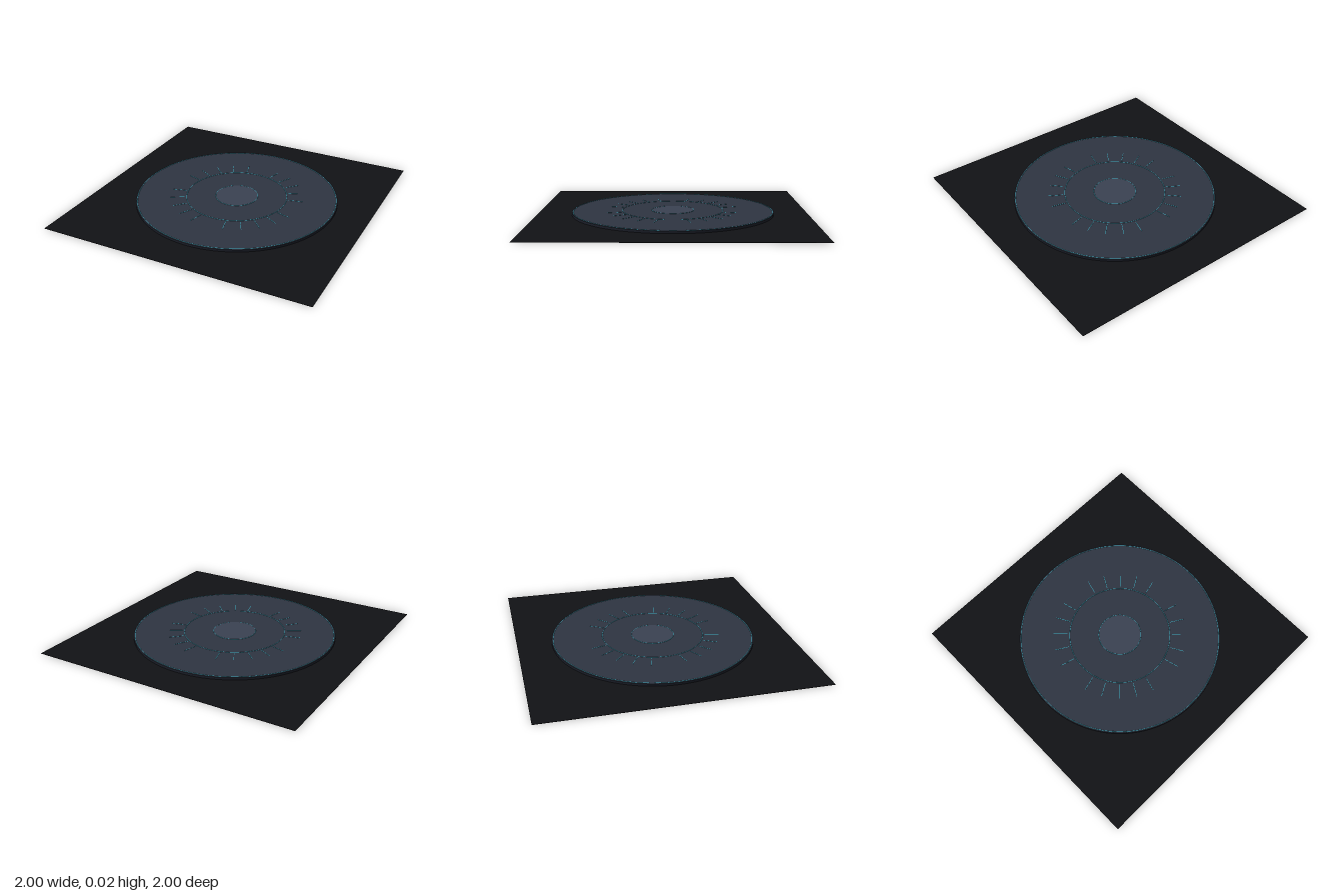
import * as THREE from 'three';

export function createModel() {
  const model = new THREE.Group();
  const paint = (color) => new THREE.MeshStandardMaterial({ color });
  const floorMat = paint(0x111215);
  const stageMat = paint(0x2e3542);
  const hubMat = paint(0x3a4252);
  const glowMat = paint(0x38a9bd);

  const add = (name, geometry, material, y = 0, parent = model) => {
    const mesh = new THREE.Mesh(geometry, material);
    mesh.name = name;
    mesh.position.y = y;
    parent.add(mesh);
    return mesh;
  };

  // Thin square floor
  add('floor', new THREE.BoxGeometry(2, 0.002, 2), floorMat, 0.001);

  // Round platform with dark side wall
  const platform = new THREE.CylinderGeometry(0.75, 0.75, 0.018, 96);
  add('platform', platform, [paint(0x1b1e28), stageMat, stageMat], 0.011);

  // Raised centre disc
  add('centreDisc', new THREE.CylinderGeometry(0.157, 0.157, 0.001, 64), hubMat, 0.0205);

  // Fine inlaid rings
  const addRing = (name, radius) => {
    const ring = new THREE.TorusGeometry(radius, 0.002, 6, 96).rotateX(Math.PI / 2);
    add(name, ring, glowMat, 0.02);
  };
  addRing('outerRing', 0.74);
  addRing('middleRing', 0.375);
  addRing('innerRing', 0.157);

  // Radial tick marks every 15 degrees, leaving the four main axes clear
  const ticks = new THREE.Group();
  ticks.name = 'tickMarks';
  const tickShape = new THREE.BoxGeometry(0.105, 0.002, 0.003).translate(0.443, 0, 0);
  for (let i = 0; i < 24; i++) {
    if (i % 6 === 0) continue;
    add('tickMark', tickShape, glowMat, 0.0205, ticks).rotation.y = (i * Math.PI) / 12;
  }
  model.add(ticks);

  return model;
}
